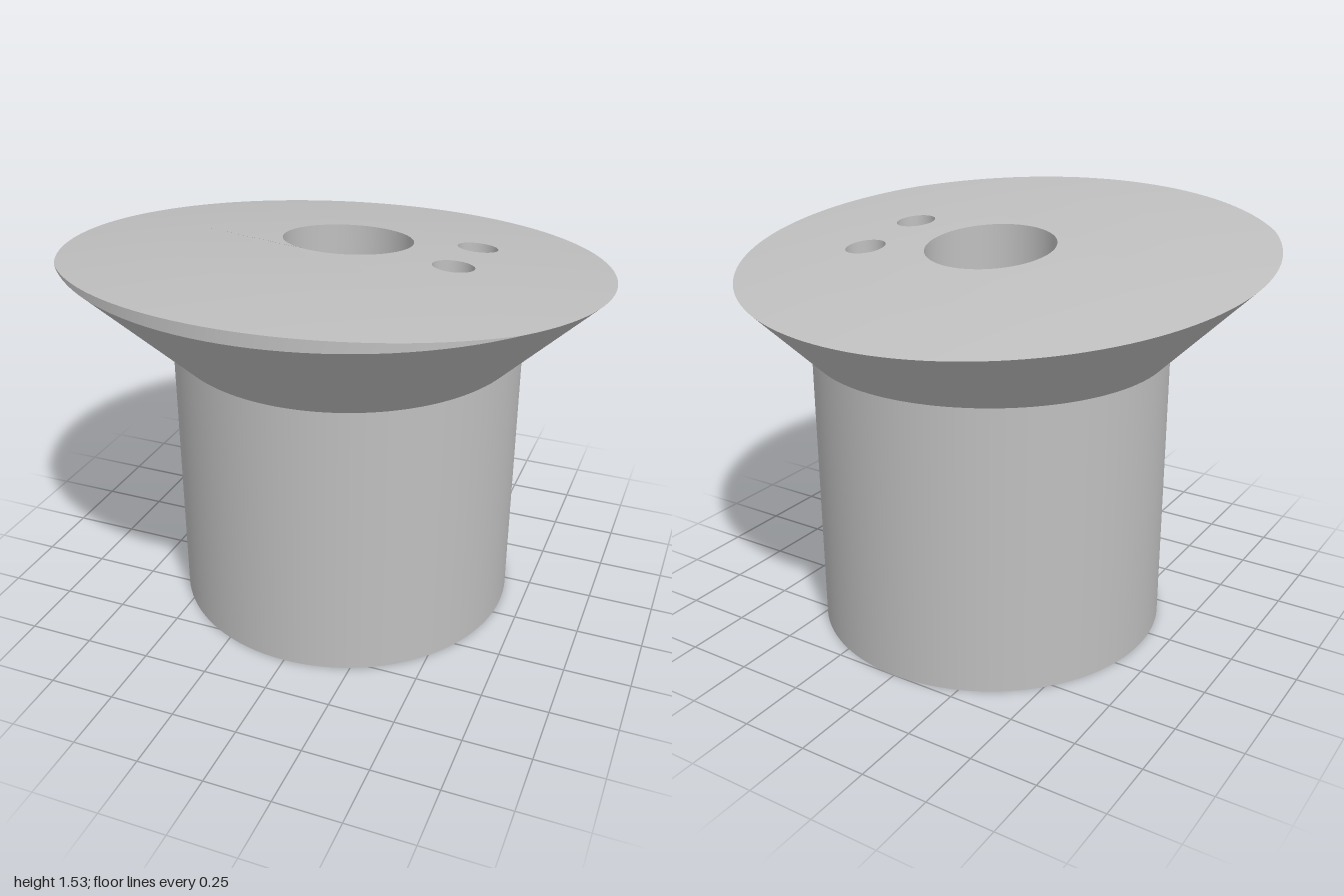
import * as THREE from 'three';

const SEG = 128, CZ = -0.085;           // segments, z of the main axis
const R = 0.665, R_MAX = 1.065;         // body radius, largest flange radius
const SHOULDER = 1.08, STEP = 1.08;     // flange start, counterbore ceiling
const BORES = [
  { name: 'centreBore', x: 0, z: -0.088, r: 0.242, bottom: 0.242 },
  { name: 'rearPinHole', x: 0.45, z: -0.248, r: 0.075, bottom: 0.075 },
  { name: 'frontPinHole', x: 0.45, z: 0.072, r: 0.075, bottom: 0.14 },
];

// Gently domed, forward-rising top surface
const topY = (x, z) => 1.47 + 0.1097 * z - 0.0535 * (x * x + z * z);

// Closed loop of points; radius and height may vary with the angle
function ring(cx, cz, radius, height) {
  return Array.from({ length: SEG + 1 }, (_, i) => {
    const a = (i % SEG) / SEG * Math.PI * 2;
    const r = typeof radius === 'function' ? radius(a) : radius;
    const x = cx + r * Math.sin(a), z = cz + r * Math.cos(a);
    return new THREE.Vector3(x, typeof height === 'function' ? height(x, z, r) : height, z);
  });
}

// Smooth skin between two loops, leaving out places where they meet
function strip(a, b) {
  const index = [], n = SEG + 1;
  for (let i = 0; i < SEG; i++) {
    if (a[i].distanceTo(b[i]) + a[i + 1].distanceTo(b[i + 1]) < 1e-4) continue;
    index.push(i, i + 1, n + i + 1, i, n + i + 1, n + i);
  }
  const g = new THREE.BufferGeometry().setFromPoints([...a, ...b]);
  g.setIndex(index);
  g.computeVertexNormals();
  // Weld the normals across the seam
  const N = g.attributes.normal;
  for (const s of [0, n]) {
    const v = new THREE.Vector3().fromBufferAttribute(N, s)
      .add(new THREE.Vector3().fromBufferAttribute(N, s + SEG)).normalize();
    N.setXYZ(s, v.x, v.y, v.z);
    N.setXYZ(s + SEG, v.x, v.y, v.z);
  }
  return g;
}

// Flat disc with round holes, facing up or down
function plate(x, z, r, holes, up) {
  const s = up ? -1 : 1;
  const shape = new THREE.Shape().absarc(x, s * z, r, 0, Math.PI * 2);
  for (const h of holes) {
    shape.holes.push(new THREE.Path().absarc(h.x, s * h.z, h.r, 0, Math.PI * 2, true));
  }
  return new THREE.ShapeGeometry(shape, SEG / 2).rotateX(s * Math.PI / 2);
}

// Smooth normals of the domed surface
function domeNormals(g) {
  const p = g.attributes.position, n = g.attributes.normal;
  for (let i = 0; i < p.count; i++) {
    const v = new THREE.Vector3(0.107 * p.getX(i), 1, 0.107 * p.getZ(i) - 0.1097).normalize();
    n.setXYZ(i, v.x, v.y, v.z);
  }
  return g;
}

// Flange radius where the 45 degree cone meets the top surface
function rimRadius(a) {
  let r = 1;
  for (let i = 0; i < 30; i++) {
    const y = topY(r * Math.sin(a), CZ + r * Math.cos(a));
    r = Math.min(R_MAX, R + y - SHOULDER);
  }
  return r;
}

export function createModel() {
  const model = new THREE.Group();
  model.name = 'flangedPlug';
  const grey = new THREE.MeshStandardMaterial({ color: 0xbfbfbf });
  grey.name = 'grey';
  const add = (name, geometry) => {
    const mesh = new THREE.Mesh(geometry, grey);
    mesh.name = name;
    model.add(mesh);
  };

  // Cylindrical body and its underside
  const neck = ring(0, CZ, R, SHOULDER);
  add('body', strip(ring(0, CZ, R, 0), neck));
  add('underside', plate(0, CZ, R, BORES.map(b => ({ ...b, r: b.bottom })), false));

  // Conical flange with a short upright rim at the front
  const coneEdge = ring(0, CZ, rimRadius, (x, z, r) => SHOULDER + r - R);
  const rim = ring(0, CZ, rimRadius, topY);
  add('flange', strip(neck, coneEdge));
  add('frontRim', strip(coneEdge, rim));

  // Domed top: outer bands, then the centre with its holes
  const band = t => ring(0, CZ, a => R + (rimRadius(a) - R) * t, topY);
  for (let i = 3; i > 0; i--) {
    add('topBand', domeNormals(strip(i === 3 ? rim : band(i / 3), band((i - 1) / 3))));
  }
  const centre = plate(0, CZ, R, BORES, true);
  const p = centre.attributes.position;
  for (let i = 0; i < p.count; i++) p.setY(i, topY(p.getX(i), p.getZ(i)));
  add('topCentre', domeNormals(centre));

  // Through holes; the front pin hole is counterbored from below
  for (const b of BORES) {
    const stepped = b.bottom > b.r;
    add(b.name, strip(ring(b.x, b.z, b.r, topY), ring(b.x, b.z, b.r, stepped ? STEP : 0)));
    if (!stepped) continue;
    add('counterbore', strip(ring(b.x, b.z, b.bottom, STEP), ring(b.x, b.z, b.bottom, 0)));
    add('counterboreStep', plate(b.x, b.z, b.bottom, [b], false).translate(0, STEP, 0));
  }
  return model;
}
